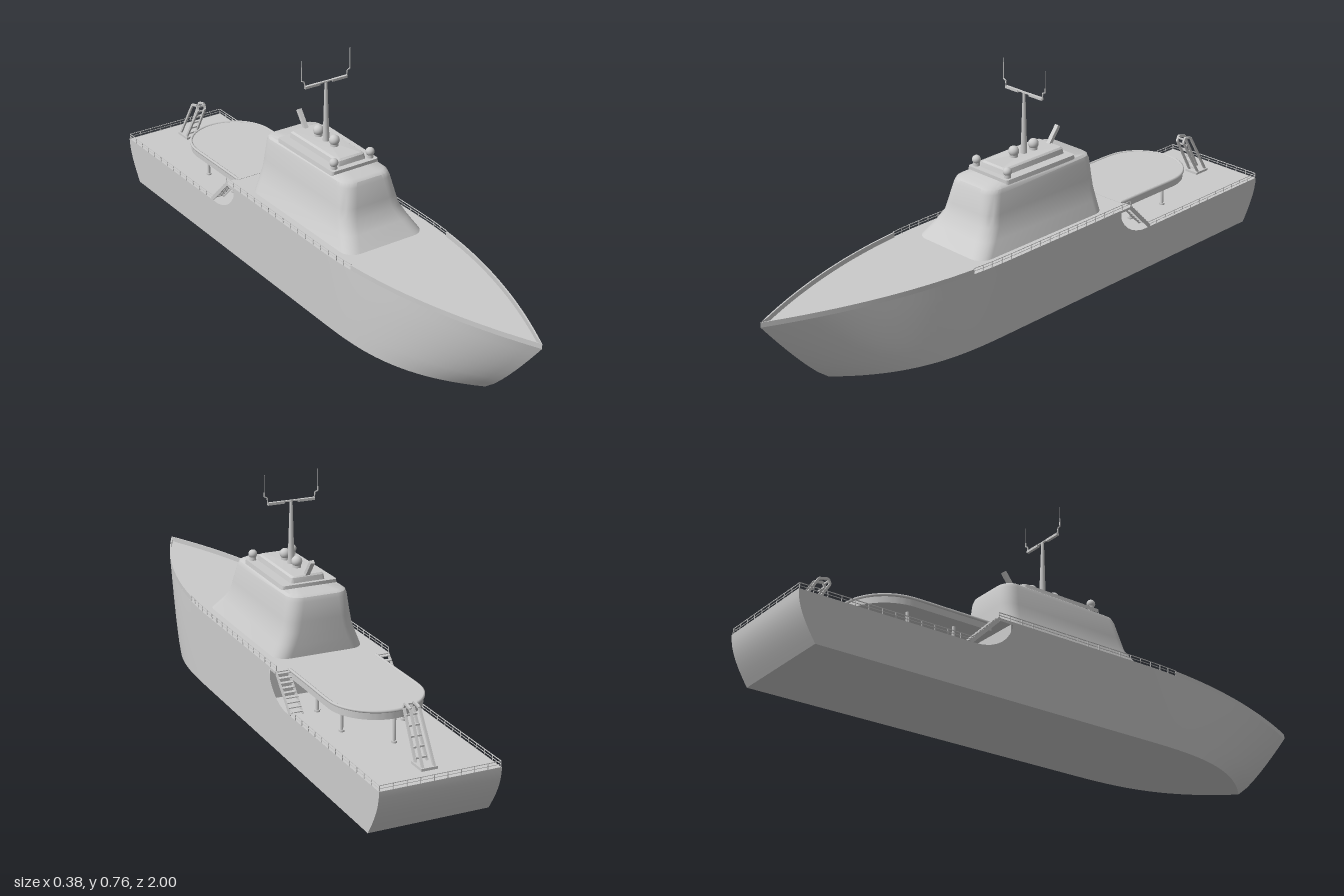
import * as THREE from 'three';
import { mergeGeometries, toCreasedNormals } from 'three/addons/utils/BufferGeometryUtils.js';

const grey = new THREE.MeshStandardMaterial({ color: 0xcccccc });
const greyThin = new THREE.MeshStandardMaterial({ color: 0xcccccc, side: THREE.DoubleSide });
const V = (x, y, z) => new THREE.Vector3(x, y, z);
const BEAM = 0.188, DECK = 0.25, AFT = 0.147, BOW_START = 0.2;

// Skin between cross-sections (arrays of [x, y, z])
function loft(sections, closed, crease = 0.5) {
  const n = sections[0].length, index = [];
  for (let i = 0; i < sections.length - 1; i++) {
    for (let j = 0; j < (closed ? n : n - 1); j++) {
      const a = i * n + j, b = i * n + (j + 1) % n;
      index.push(a, b, b + n, a, b + n, a + n);
    }
  }
  const g = new THREE.BufferGeometry();
  g.setAttribute('position', new THREE.Float32BufferAttribute(sections.flat(2), 3));
  g.setIndex(index);
  return toCreasedNormals(g, crease);
}

function box(w, h, d, x, y, z) {
  return new THREE.BoxGeometry(w, h, d).translate(x, y, z);
}

// Square bar between two points
function bar(a, b, t = 0.003, w = t) {
  const g = new THREE.BoxGeometry(w, t, a.distanceTo(b));
  const m = new THREE.Matrix4().lookAt(b, a, Math.abs(b.x - a.x) + Math.abs(b.z - a.z) < 1e-4 ? V(0, 0, 1) : V(0, 1, 0));
  return g.applyMatrix4(m).translate((a.x + b.x) / 2, (a.y + b.y) / 2, (a.z + b.z) / 2);
}

// Hull lines
const stem = y => 0.77 + 0.23 * Math.pow(y / DECK, 0.85);
const stern = y => -0.94 - 0.06 * Math.sin(Math.min(1, y / AFT) * Math.PI / 2);
const fullness = (u, y) => BEAM * (1 - Math.pow(u, 3 - y / DECK));
const deckHalf = z => z < BOW_START ? BEAM : fullness((z - BOW_START) / (1 - BOW_START), DECK);

function hullSection(top, zAt, halfAt) {
  const side = [];
  for (let k = 0; k <= 8; k++) {
    const y = top * k / 8;
    side.push([halfAt(y), y, zAt(y)]);
  }
  return [...side.map(([x, y, z]) => [-x, y, z]).reverse(), ...side];
}

function hullGeometry() {
  const s = [hullSection(AFT, stern, () => BEAM)];
  // side notch where the hull steps down to the aft deck
  for (let k = 0; k <= 8; k++) {
    const a = k / 8 * Math.PI / 2;
    const z = -0.42 + 0.13 * Math.sin(a), y = DECK - (DECK - AFT) * Math.cos(a);
    s.push(hullSection(y, () => z, () => BEAM));
  }
  for (let k = 0; k <= 24; k++) {
    const u = k / 24;
    s.push(hullSection(DECK, y => BOW_START + u * (stem(y) - BOW_START), y => fullness(u, y)));
  }
  const t = s[0], n = t.length;
  const transom = [];
  for (let k = 0; k < n / 2; k++) transom.push([t[n - 1 - k], t[k]]);
  return mergeGeometries([loft(s, false), loft(transom, false)]);
}

// Upper deck plane and the bulwark around the bow
function upperDeck() {
  const rows = [-0.34];
  for (let k = 0; k <= 24; k++) rows.push(BOW_START + (1 - BOW_START) * k / 24);
  return loft(rows.map(z => [[deckHalf(z), DECK, z], [-deckHalf(z), DECK, z]]), false);
}
function bulwark() {
  const rows = [];
  for (let k = 0; k <= 20; k++) rows.push(0.35 + 0.65 * k / 20);
  const parts = [1, -1].map(m => loft(rows.map(z => {
    const x = deckHalf(z), xi = Math.max(0, x - 0.005);
    return [[m * xi, DECK, z], [m * xi, 0.266, z], [m * x, 0.266, z], [m * x, DECK, z]];
  }), false));
  return mergeGeometries(parts);
}

// Guard rail with evenly spaced posts along a polyline
function railing(points, spacing = 0.043, h = 0.018) {
  const parts = [];
  for (let i = 0; i < points.length - 1; i++) {
    const a = points[i], b = points[i + 1], n = Math.max(1, Math.round(a.distanceTo(b) / spacing));
    const up = V(0, h, 0), mid = V(0, h * 0.5, 0);
    parts.push(bar(a.clone().add(up), b.clone().add(up), 0.002));
    parts.push(bar(a.clone().add(mid), b.clone().add(mid), 0.0015));
    for (let k = 0; k <= n; k++) {
      const p = a.clone().lerp(b, k / n);
      parts.push(box(0.002, h, 0.002, p.x, p.y + h / 2, p.z));
    }
  }
  return mergeGeometries(parts);
}

// Rounded rectangle, with separate half widths fore and aft
function roundedSection([y, zf, za, wf, wa, r]) {
  const pts = [];
  [[1, zf - r, wf], [1, za + r, wa], [-1, za + r, wa], [-1, zf - r, wf]].forEach(([sx, zc, w], q) => {
    for (let k = 0; k <= 6; k++) {
      const a = (q + k / 6) * Math.PI / 2;
      pts.push([sx * (w - r) + r * Math.sin(a), y, zc + r * Math.cos(a)]);
    }
  });
  return pts;
}
function roundedBlock(levels) {
  const s = levels.map(roundedSection);
  const top = levels[levels.length - 1];
  s.push(s[0].map(() => [0, top[0], (top[1] + top[2]) / 2]));
  return loft(s, true, 0.6);
}

export function createModel() {
  const model = new THREE.Group();
  const add = (name, g, mat = grey) => {
    const m = new THREE.Mesh(g, mat);
    m.name = name;
    model.add(m);
    return m;
  };

  add('hull', hullGeometry(), greyThin);
  add('upperDeck', upperDeck(), greyThin);
  add('bulwark', bulwark(), greyThin);
  add('aftDeck', box(BEAM * 2 - 0.002, 0.004, 0.705, 0, AFT - 0.002, -0.645));
  add('bulkhead', box(BEAM * 2 - 0.002, DECK - AFT, 0.004, 0, (DECK + AFT) / 2, -0.295));
  add('upperDeckEdge', box(BEAM * 2, 0.008, 0.05, 0, DECK - 0.005, -0.315));

  // Railings
  const e = BEAM - 0.002;
  for (const m of [1, -1]) {
    add('upperRailing', railing([0.35, 0.28, 0.2, -0.34].map(z => V(m * (deckHalf(z) - 0.002), DECK, z))));
  }
  add('aftRailing', railing([V(e, AFT, -0.43), V(e, AFT, -0.997), V(-e, AFT, -0.997), V(-e, AFT, -0.43)]));

  // Stairs from the upper deck to the aft deck
  for (const m of [1, -1]) {
    const parts = [];
    for (let k = 0; k < 9; k++) {
      const t = (k + 0.5) / 9;
      parts.push(box(0.04, 0.003, 0.013, m * 0.166, DECK - t * 0.1, -0.34 - t * 0.1));
    }
    for (const x of [0.146, 0.186]) {
      parts.push(bar(V(m * x, DECK, -0.335), V(m * x, AFT, -0.438), 0.012, 0.003));
    }
    add('stairs', mergeGeometries(parts));
  }

  // Raised landing platform on posts
  const pad = new THREE.Shape();
  pad.moveTo(-0.143, 0.335);
  pad.lineTo(-0.143, 0.6);
  pad.absarc(0, 0.6, 0.143, Math.PI, 0, true);
  pad.lineTo(0.143, 0.335);
  pad.closePath();
  const slab = new THREE.ExtrudeGeometry(pad, { depth: 0.026, bevelEnabled: false, curveSegments: 32 });
  add('landingPlatform', toCreasedNormals(slab.rotateX(-Math.PI / 2).translate(0, 0.225, 0), 0.5));
  const rim = [V(-0.143, DECK, -0.34), V(-0.143, DECK, -0.47)];
  for (let k = 0; k <= 16; k++) {
    const a = Math.PI * (1 - k / 16);
    rim.push(V(0.143 * Math.cos(a), DECK, -0.6 - 0.143 * Math.sin(a)));
  }
  rim.push(V(0.143, DECK, -0.47), V(0.143, DECK, -0.34));
  add('platformRim', new THREE.TubeGeometry(new THREE.CatmullRomCurve3(rim), 80, 0.005, 6));
  for (const [x, z] of [[0.1, -0.44], [-0.1, -0.44], [0.1, -0.6], [-0.1, -0.6], [0, -0.73]]) {
    add('platformPost', new THREE.CylinderGeometry(0.005, 0.005, 0.08, 10).translate(x, 0.187, z));
    add('postFoot', new THREE.CylinderGeometry(0.009, 0.009, 0.006, 10).translate(x, 0.15, z));
  }

  // Stern crane: twin leaning frames with rungs
  const crane = [box(0.05, 0.008, 0.06, 0, AFT + 0.004, -0.905)];
  for (const m of [1, -1]) {
    const pts = [V(0.018, 0.15, -0.89), V(0.014, 0.285, -0.808), V(0.014, 0.3, -0.815),
      V(0.014, 0.293, -0.845), V(0.018, 0.15, -0.93)];
    pts.forEach(p => { p.x *= m; });
    for (let k = 0; k < 4; k++) crane.push(bar(pts[k], pts[k + 1], 0.007));
  }
  for (let k = 0; k < 6; k++) {
    const t = k / 5;
    crane.push(box(0.034, 0.005, 0.005, 0, 0.165 + 0.13 * t, -0.885 + 0.073 * t));
  }
  add('sternCrane', mergeGeometries(crane));

  // Superstructure: y, front z, aft z, front and aft half widths, corner radius
  add('superstructure', roundedBlock([
    [0.249, 0.29, -0.262, 0.146, 0.148, 0.045],
    [0.29, 0.25, -0.262, 0.126, 0.131, 0.045],
    [0.325, 0.222, -0.261, 0.112, 0.118, 0.045],
    [0.36, 0.213, -0.26, 0.105, 0.111, 0.045],
    [0.42, 0.197, -0.257, 0.094, 0.102, 0.045],
    [0.433, 0.19, -0.252, 0.089, 0.098, 0.043],
    [0.439, 0.178, -0.242, 0.08, 0.09, 0.036],
  ]));
  add('roofBase', roundedBlock([
    [0.436, 0.12, -0.178, 0.088, 0.092, 0.008], [0.45, 0.12, -0.178, 0.086, 0.09, 0.008]]));
  add('roofHouse', roundedBlock([
    [0.449, 0.1, -0.165, 0.055, 0.058, 0.01], [0.466, 0.096, -0.162, 0.052, 0.055, 0.01],
    [0.471, 0.09, -0.157, 0.046, 0.049, 0.008]]));

  // Radar domes on short pedestals
  for (const [x, y, z, r] of [[0.068, 0.47, 0.1, 0.014], [-0.068, 0.47, 0.1, 0.014],
    [0, 0.49, 0.005, 0.017], [0, 0.49, -0.082, 0.017]]) {
    add('radarDome', new THREE.SphereGeometry(r, 20, 14).translate(x, y, z));
    add('domePedestal', new THREE.CylinderGeometry(r * 0.7, r * 0.8, 0.024, 16).translate(x, y - 0.014, z));
  }
  add('exhaust', bar(V(0, 0.465, -0.15), V(0, 0.52, -0.192), 0.012, 0.014));

  // Mast with crossarm, upturned ends and whip aerials
  add('mast', new THREE.CylinderGeometry(0.0045, 0.011, 0.21, 12).translate(0, 0.568, -0.04));
  const arm = [box(0.05, 0.004, 0.007, 0, 0.672, -0.04)];
  for (const m of [1, -1]) {
    arm.push(box(0.055, 0.008, 0.009, m * 0.051, 0.67, -0.04));
    const p = [V(m * 0.078, 0.67, -0.04), V(m * 0.08, 0.69, -0.04), V(m * 0.09, 0.694, -0.04), V(m * 0.09, 0.708, -0.04)];
    for (let k = 0; k < 3; k++) arm.push(bar(p[k], p[k + 1], 0.003));
    arm.push(box(0.001, 0.06, 0.002, m * 0.09, 0.732, -0.04));
  }
  add('mastCrossarm', mergeGeometries(arm));
  return model;
}
